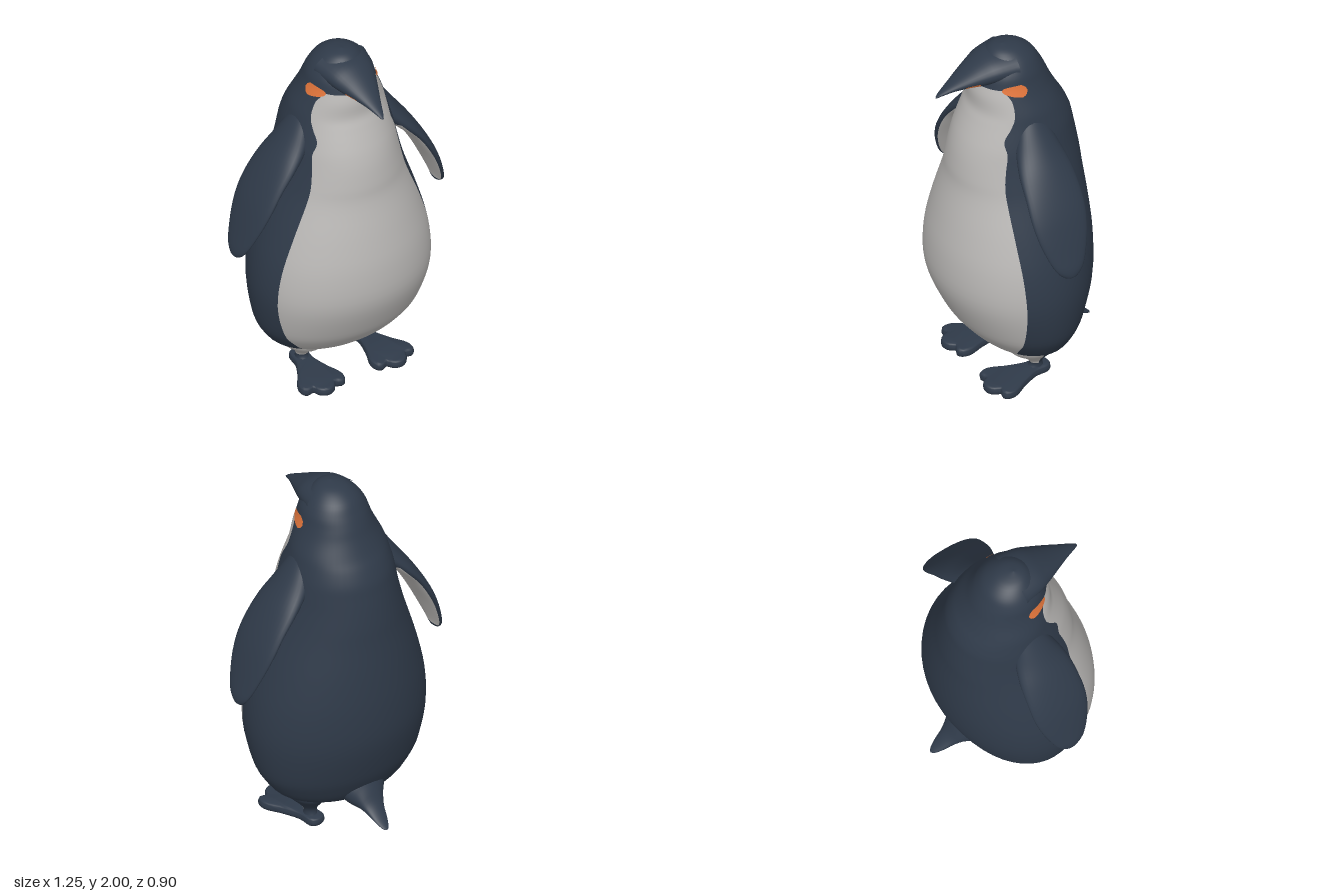
import * as THREE from 'three';
import { toCreasedNormals } from 'three/addons/utils/BufferGeometryUtils.js';

const paint = (name, color) => Object.assign(new THREE.MeshStandardMaterial({ color }), { name });

// Smooth interpolation of a table of rows at fractional row index t
function rowAt(rows, t) {
  const i = Math.min(Math.floor(t), rows.length - 2), f = t - i;
  const r = k => rows[Math.max(0, Math.min(rows.length - 1, k))];
  return rows[i].map((_, c) => {
    const a = r(i - 1)[c], b = r(i)[c], d = r(i + 1)[c], e = r(i + 2)[c];
    return b + 0.5 * f * (d - a + f * (2 * a - 5 * b + 4 * d - e + f * (3 * (b - d) + e - a)));
  });
}

// Loft of elliptical sections. Row: [position on axis, xMin, xMax, min, max of the third axis, ...extra]
function loft(rows, { axis = 'y', seg = 32, steps = 4, side = 1, angle, pick = () => 0 }) {
  const pos = [], lists = [[], [], []], n = (rows.length - 1) * steps;
  for (let i = 0; i <= n; i++) {
    const row = rowAt(rows, i / steps), [p, x0, x1, v0, v1] = row;
    for (let j = 0; j < seg; j++) {
      const th = angle ? angle(row, j / seg) : (j / seg) * Math.PI * 2;
      const u = (x0 + x1) / 2 + (x1 - x0) / 2 * Math.sin(th) * (axis === 'y' ? 1 : -1);
      const v = (v0 + v1) / 2 + (v1 - v0) / 2 * Math.cos(th);
      pos.push(u * side, axis === 'y' ? p : v, axis === 'y' ? v : p);
    }
  }
  for (let i = 0; i < n; i++) for (let j = 0; j < seg; j++) {
    const k = (j + 1) % seg;
    const a = i * seg + j, b = i * seg + k, c = b + seg, d = a + seg;
    const list = lists[pick((i + 0.5) / steps, (j + 0.5) / seg, rowAt(rows, (i + 0.5) / steps)[0])];
    list.push(...(side > 0 ? [a, b, c, a, c, d] : [a, c, b, a, d, c]));
  }
  const g = new THREE.BufferGeometry();
  g.setAttribute('position', new THREE.Float32BufferAttribute(pos, 3));
  g.setIndex(lists.flat());
  let start = 0;
  lists.forEach((l, m) => { if (l.length) g.addGroup(start, l.length, m); start += l.length; });
  g.computeVertexNormals();
  return g;
}

// Body and head: y, half width, front z, back z, z of the colour edge
const BODY = [
  [0.15, 0.001, -0.019, -0.021, -0.02], [0.152, 0.1, 0.06, -0.1, 0.02], [0.17, 0.22, 0.13, -0.19, 0.07],
  [0.22, 0.35, 0.21, -0.245, 0.13], [0.3, 0.42, 0.285, -0.29, 0.16], [0.4, 0.465, 0.35, -0.33, 0.165],
  [0.6, 0.495, 0.43, -0.38, 0.175], [0.8, 0.48, 0.437, -0.39, 0.185], [1.0, 0.43, 0.405, -0.378, 0.195],
  [1.2, 0.365, 0.36, -0.355, 0.2], [1.3, 0.335, 0.35, -0.345, 0.2], [1.4, 0.31, 0.335, -0.33, 0.185],
  [1.48, 0.295, 0.315, -0.315, 0.17], [1.55, 0.28, 0.29, -0.3, 0.175], [1.62, 0.262, 0.262, -0.27, 0.135],
  [1.68, 0.245, 0.24, -0.235, 0.11], [1.76, 0.21, 0.238, -0.195, 0.11], [1.82, 0.187, 0.225, -0.17, 0.135],
  [1.88, 0.168, 0.205, -0.14, 0.1], [1.94, 0.128, 0.165, -0.1, 0.06], [1.985, 0.07, 0.12, -0.03, 0.06],
  [2.0, 0.001, 0.061, 0.059, 0.06],
].map(([y, w, f, b, e]) => [y, -w, w, b, f, e]);
const CHIN = BODY.findIndex(r => r[0] === 1.82);

// Half the section columns lie on the belly, half on the back, so the colour edge follows the mesh
function bodyAngle([, , , b, f, edge], s) {
  const cos = (edge - (f + b) / 2) / Math.max((f - b) / 2, 0.001);
  const a = Math.acos(THREE.MathUtils.clamp(cos, -0.9, 0.9));
  return s < 0.5 ? a * (4 * s - 1) : a + (2 * Math.PI - 2 * a) * (2 * s - 1);
}

// x of the body surface at a height and depth
function bodyX(y, z) {
  let lo = 0, hi = BODY.length - 1;
  for (let k = 0; k < 30; k++) {
    const m = (lo + hi) / 2;
    if (rowAt(BODY, m)[0] < y) lo = m; else hi = m;
  }
  const [, , w, b, f] = rowAt(BODY, lo), q = (z - (f + b) / 2) / ((f - b) / 2);
  return w * Math.sqrt(Math.max(0, 1 - q * q));
}

// Teardrop cheek patch lying on the head
function cheekPatch(side) {
  const nu = 16, nv = 6, pos = [], idx = [];
  for (let i = 0; i <= nu; i++) for (let j = 0; j <= nv; j++) {
    const t = i / nu, z = 0.022 + 0.128 * t;
    const h = 0.034 * Math.min(1, Math.sqrt(t * (2 - t) * 2.2)) * Math.sqrt(Math.max(0, 1 - t * t));
    const y = 1.812 + 0.008 * t + h * (2 * j / nv - 1);
    pos.push(side * (bodyX(y, z) + 0.005), y, z);
  }
  for (let i = 0; i < nu; i++) for (let j = 0; j < nv; j++) {
    const a = i * (nv + 1) + j, b = a + 1, c = a + nv + 2, d = a + nv + 1;
    idx.push(...(side > 0 ? [a, b, c, a, c, d] : [a, c, b, a, d, c]));
  }
  const g = new THREE.BufferGeometry();
  g.setAttribute('position', new THREE.Float32BufferAttribute(pos, 3));
  g.setIndex(idx);
  g.computeVertexNormals();
  return g;
}

// Webbed foot with three toes
function footGeometry(side) {
  const half = [[0.03, -0.08], [0.033, 0], [0.068, 0.1], [0.11, 0.19], [0.1, 0.23], [0.055, 0.222], [0.03, 0.26]];
  const outline = [[0, -0.092], ...half, [0, 0.272], ...half.slice().reverse().map(([x, y]) => [-x, y])];
  const curve = new THREE.CatmullRomCurve3(outline.map(([x, y]) => new THREE.Vector3(x, y, 0)), true);
  const shape = new THREE.Shape(curve.getPoints(56).slice(0, -1).map(p => new THREE.Vector2(p.x, p.y)));
  const g = new THREE.ExtrudeGeometry(shape, {
    depth: 0.016, bevelThickness: 0.016, bevelSize: 0.016, bevelSegments: 4,
  });
  g.rotateX(Math.PI / 2).translate(0, 0.032, 0).rotateY(side * 0.12).translate(side * 0.188, 0, 0);
  return toCreasedNormals(g, 0.9);
}

export function createModel() {
  const group = new THREE.Group();
  const dark = paint('navy plumage', 0x2f3a49);
  const light = paint('pale plumage', 0xbab8b6);
  const orange = paint('orange marking', 0xe0743a);
  const mats = [dark, light, orange];
  const add = (name, geometry, material = mats) => {
    const mesh = new THREE.Mesh(geometry, material);
    mesh.name = name;
    group.add(mesh);
  };

  add('body', loft(BODY, {
    seg: 64, angle: bodyAngle, pick: (t, s) => (t < CHIN && s < 0.5 ? 1 : 0),
  }));

  // Beak, flowing out of the head and curving down, with orange strips low on its sides
  add('beak', loft([
    [0.04, -0.155, 0.155, 1.82, 1.985], [0.15, -0.132, 0.132, 1.817, 1.968], [0.22, -0.105, 0.105, 1.813, 1.938],
    [0.29, -0.075, 0.075, 1.817, 1.898], [0.36, -0.044, 0.044, 1.812, 1.856], [0.42, -0.02, 0.02, 1.799, 1.82],
    [0.447, -0.007, 0.007, 1.79, 1.799], [0.45, -0.001, 0.001, 1.793, 1.795],
  ], {
    axis: 'z',
    pick: (t, s, z) => (z > 0.235 && z < 0.305 && Math.abs(Math.abs(s - 0.5) - 0.17) < 0.05 ? 2 : 0),
  }));

  // Tail, listed from the tip to the base
  add('tail', loft([
    [-0.452, -0.002, 0.002, 0.104, 0.107], [-0.44, -0.018, 0.018, 0.105, 0.118], [-0.4, -0.037, 0.037, 0.122, 0.152],
    [-0.345, -0.055, 0.055, 0.141, 0.208], [-0.3, -0.08, 0.08, 0.15, 0.285], [-0.24, -0.12, 0.12, 0.153, 0.36],
    [-0.12, -0.12, 0.12, 0.156, 0.36],
  ], { axis: 'z' }));

  for (const side of [1, -1]) {
    const label = side > 0 ? 'left' : 'right';

    // Flipper, pale on the inner face
    add(label + 'Flipper', loft([
      [0.88, 0.606, 0.612, -0.004, 0.004], [0.89, 0.588, 0.622, -0.036, 0.04], [0.93, 0.577, 0.62, -0.07, 0.08],
      [1.0, 0.55, 0.6, -0.1, 0.115], [1.1, 0.505, 0.568, -0.13, 0.148], [1.2, 0.45, 0.53, -0.147, 0.165],
      [1.3, 0.385, 0.48, -0.147, 0.165], [1.4, 0.29, 0.42, -0.138, 0.158], [1.5, 0.2, 0.35, -0.11, 0.13],
      [1.58, 0.18, 0.295, -0.08, 0.1], [1.66, 0.15, 0.242, -0.05, 0.07],
    ], {
      side, pick: (t, s, y) => (y > 0.91 && y < 1.42 && Math.sin(s * Math.PI * 2) < -0.35 ? 1 : 0),
    }));

    // Short leg, pale in front above the ankle
    add(label + 'Leg', loft([
      [0.025, 0.145, 0.225, -0.08, 0.03], [0.06, 0.152, 0.218, -0.065, 0.004], [0.09, 0.142, 0.226, -0.07, 0.015],
      [0.13, 0.108, 0.258, -0.1, 0.06], [0.18, 0.07, 0.305, -0.14, 0.12], [0.24, 0.08, 0.33, -0.14, 0.14],
    ], {
      side, pick: (t, s, y) => (y > 0.075 && Math.cos(s * Math.PI * 2) > 0 ? 1 : 0),
    }));

    add(label + 'Foot', footGeometry(side), dark);
    add(label + 'CheekPatch', cheekPatch(side), orange);
  }
  return group;
}
